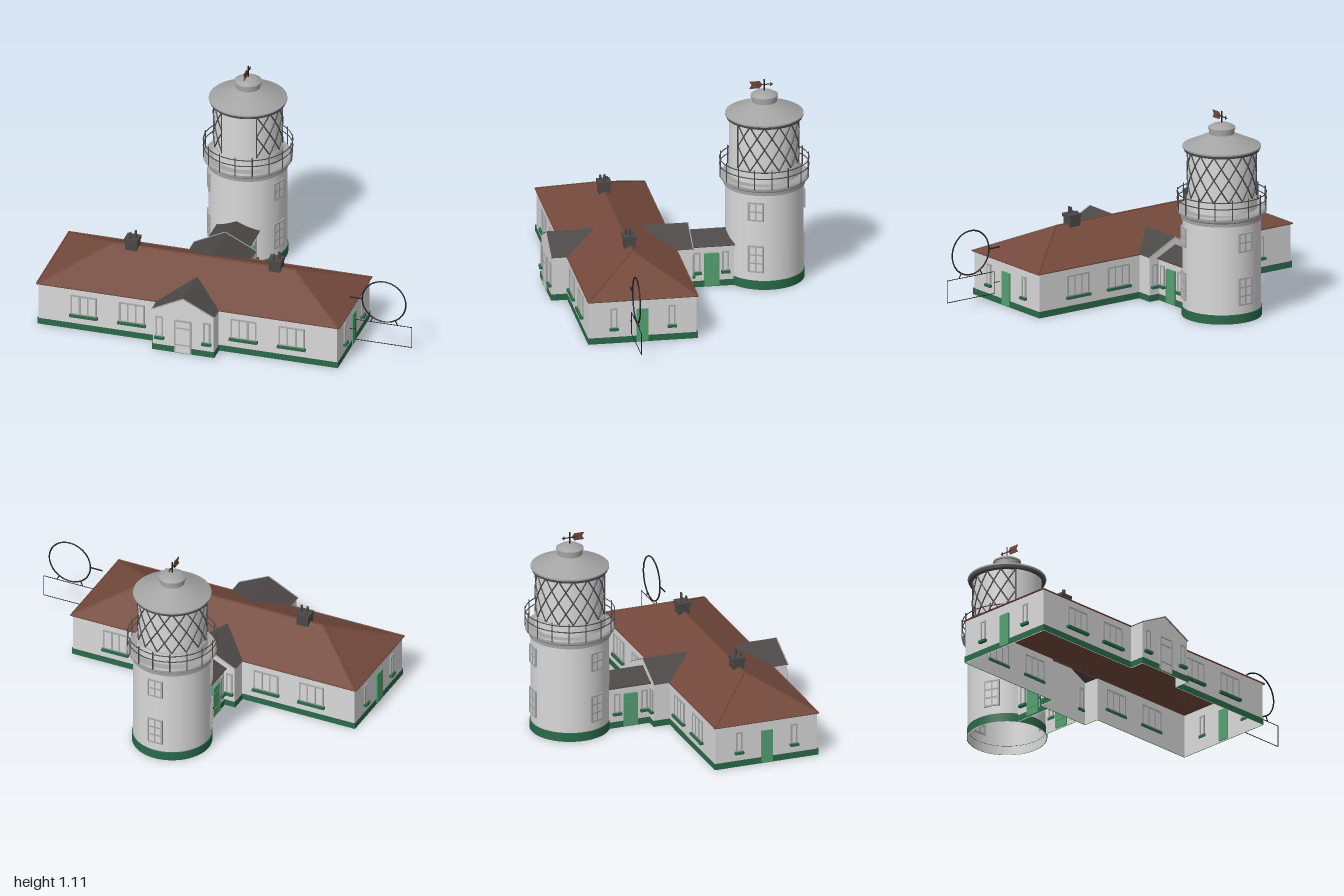
import * as THREE from 'three';

const mat = (name, color, side = THREE.FrontSide) => {
  const m = new THREE.MeshStandardMaterial({ color, side });
  m.name = name;
  return m;
};
const rad = THREE.MathUtils.degToRad;

export function createModel() {
  const M = {
    wall: mat('white wall', 0xd9d9d9, THREE.DoubleSide),
    roof: mat('red brown tile', 0x74493c, THREE.DoubleSide),
    slate: mat('dark slate', 0x4b4847, THREE.DoubleSide),
    plinth: mat('dark green', 0x2b6a4a, THREE.DoubleSide),
    door: mat('light green', 0x55a171),
    frame: mat('grey frame', 0xaaaaaa),
    metal: mat('grey metal', 0xa3a3a3, THREE.DoubleSide),
    bars: mat('dark grey bar', 0x4d4d4d),
    iron: mat('black iron', 0x222222),
  };
  const model = new THREE.Group();
  model.name = 'lighthouse';

  const group = (name, parent = model) => {
    const g = new THREE.Group();
    g.name = name;
    parent.add(g);
    return g;
  };
  const add = (parent, name, geo, m, x = 0, y = 0, z = 0) => {
    const mesh = new THREE.Mesh(geo, m);
    mesh.name = name;
    mesh.position.set(x, y, z);
    parent.add(mesh);
    return mesh;
  };
  const box = (parent, name, w, h, d, m, x, y, z) => add(parent, name, new THREE.BoxGeometry(w, h, d), m, x, y, z);
  // Thin round bar between two points
  const beam = (parent, name, a, b, r, m) => {
    const p = new THREE.Vector3(...a), q = new THREE.Vector3(...b), d = q.clone().sub(p);
    const mesh = add(parent, name, new THREE.CylinderGeometry(r, r, d.length(), 6), m);
    mesh.position.copy(p).add(q).multiplyScalar(0.5);
    mesh.quaternion.setFromUnitVectors(new THREE.Vector3(0, 1, 0), d.normalize());
  };
  // Flat convex polygons
  const faces = (parent, name, polys, m) => {
    const pos = [];
    for (const p of polys) for (let i = 1; i < p.length - 1; i++) pos.push(...p[0], ...p[i], ...p[i + 1]);
    const g = new THREE.BufferGeometry();
    g.setAttribute('position', new THREE.Float32BufferAttribute(pos, 3));
    g.computeVertexNormals();
    add(parent, name, g, m);
  };
  // Upright strip along a path of [x, z] points
  const strip = (parent, name, path, y0, y1, m) => faces(parent, name, path.slice(1).map(([x, z], i) => {
    const [px, pz] = path[i];
    return [[px, y0, pz], [x, y0, z], [x, y1, z], [px, y1, pz]];
  }), m);
  // Window with frame, glazing bars and optional sill, facing its own +z
  const addWindow = (parent, x, z, ry, w, y0, y1, cols, rows, sill = true) => {
    const g = group('window', parent), h = y1 - y0, t = 0.008;
    g.position.set(x, y0, z);
    g.rotation.y = ry;
    box(g, 'windowPane', w, h, 0.006, M.wall, 0, h / 2, 0.001);
    for (let i = 0; i <= cols; i++) box(g, 'windowUpright', t, h, 0.012, M.frame, -w / 2 + (w * i) / cols, h / 2, 0.001);
    for (let i = 0; i <= rows; i++) box(g, 'windowRail', w + t, t, 0.012, M.frame, 0, (h * i) / rows, 0.001);
    if (sill) box(g, 'windowSill', w + 0.02, 0.014, 0.024, M.plinth, 0, -0.009, 0.006);
  };
  const addDoor = (parent, x, z, ry, w, h, m, trim) => {
    const g = group('door', parent);
    g.position.set(x, 0.005, z);
    g.rotation.y = ry;
    box(g, 'doorLeaf', w, h, 0.016, m, 0, h / 2, 0.002);
    if (!trim) return;
    for (const s of [-1, 1]) box(g, 'doorPost', 0.008, h, 0.022, trim, s * w / 2, h / 2, 0.002);
    for (const f of [0.25, 0.78, 1]) box(g, 'doorRail', w, 0.007, 0.022, trim, 0, h * f, 0.002);
  };

  // ---- House ----
  const house = group('house');
  const cx = -0.167, X0 = -0.99, X1 = 0.655, Z0 = 0.037, Z1 = 0.612;
  const P0 = -0.333, P1 = 0, PF = 0.698, PB = -0.053, C0 = -0.272, C1 = -0.062;
  const outline = (e) => [
    [X0 - e, Z1 + e], [P0 - e, Z1 + e], [P0 - e, PF + e], [P1 + e, PF + e], [P1 + e, Z1 + e], [X1 + e, Z1 + e],
    [X1 + e, Z0 - e], [P1 + e, Z0 - e], [P1 + e, PB - e], [P0 - e, PB - e], [P0 - e, Z0 - e], [X0 - e, Z0 - e], [X0 - e, Z1 + e],
  ];
  strip(house, 'houseWalls', outline(0), 0, 0.24, M.wall);
  strip(house, 'housePlinth', outline(0.005), 0, 0.035, M.plinth);

  // Hipped main roof with ridge, hip and eave trim
  const E = 0.24, R = 0.386, rz = 0.325;
  const a = [-1, E, 0.617], b = [0.667, E, 0.617], c = [0.667, E, 0.032], d = [-1, E, 0.032];
  const r0 = [-0.67, R, rz], r1 = [0.335, R, rz];
  faces(house, 'mainRoof', [[a, b, r1, r0], [b, c, r1], [c, d, r0, r1], [d, a, r0]], M.roof);
  for (const [p, q] of [[r0, r1], [a, r0], [d, r0], [b, r1], [c, r1]]) beam(house, 'ridgeTile', p, q, 0.004, M.roof);
  for (const [p, q] of [[a, b], [b, c], [c, d], [d, a]]) beam(house, 'gutter', p, q, 0.004, M.roof);

  // Front and back porch gables with roofs running into the main roof
  const peak = 0.326, g0 = cx - 0.173, g1 = cx + 0.173;
  for (const [zOut, zEave, zTop, zWall] of [[0.702, 0.617, 0.445, PF], [-0.057, 0.032, 0.204, PB]]) {
    const top = [cx, peak, zOut], inn = [cx, peak, zTop];
    faces(house, 'porchRoof', [g0, g1].map((x) => [[x, E, zOut], [x, E, zEave], inn, top]), M.slate);
    faces(house, 'porchGable', [[[P0, E, zWall], [P1, E, zWall], [cx, peak - 0.004, zWall]]], M.wall);
    for (const x of [g0, g1]) beam(house, 'gableTrim', [x, E, zOut], top, 0.003, M.frame);
  }

  // Triple windows front and back, narrow porch and end windows
  for (const x of [-0.74, -0.475, 0.14, 0.405]) {
    addWindow(house, x, Z1, 0, 0.135, 0.09, 0.198, 3, 1);
    addWindow(house, x, Z0, Math.PI, 0.135, 0.09, 0.198, 3, 1);
  }
  for (const s of [-1, 1]) {
    addWindow(house, cx + s * 0.13, PF, 0, 0.032, 0.085, 0.198, 1, 1);
    addWindow(house, cx + s * 0.136, PB, Math.PI, 0.028, 0.085, 0.198, 1, 1);
    const endX = s > 0 ? X1 : X0;
    for (const z of [0.48, 0.17]) addWindow(house, endX, z, s * Math.PI / 2, 0.028, 0.088, 0.192, 1, 1);
    addDoor(house, endX, 0.327, s * Math.PI / 2, 0.064, 0.18, M.door);
  }
  addDoor(house, cx, PF, 0, 0.085, 0.188, M.wall, M.frame);

  // Chimneys with pots
  for (const x of [-0.56, 0.23]) {
    const ch = group('chimney');
    ch.position.set(x, 0, rz);
    box(ch, 'chimneyStack', 0.066, 0.07, 0.062, M.slate, 0, 0.39, 0);
    box(ch, 'chimneyCap', 0.076, 0.018, 0.072, M.slate, 0, 0.428, 0);
    [[-0.018, 0.45, -0.018], [0.018, 0.478, 0], [-0.008, 0.465, 0.018]].forEach(([px, top, pz]) =>
      add(ch, 'chimneyPot', new THREE.CylinderGeometry(0.006, 0.008, top - 0.43, 10), M.slate, px, (top + 0.43) / 2, pz));
  }

  // ---- Passage to the tower ----
  const passage = group('passage');
  for (const [s, x] of [[-1, C0], [1, C1]]) {
    strip(passage, 'passageWall', [[x, PB], [x, -0.287]], 0, 0.23, M.wall);
    strip(passage, 'passagePlinth', [[x + s * 0.005, PB], [x + s * 0.005, -0.287]], 0, 0.035, M.plinth);
    for (const z of [-0.086, -0.24]) addWindow(passage, x, z, s * Math.PI / 2, 0.028, 0.088, 0.19, 1, 1);
    addDoor(passage, x, -0.165, s * Math.PI / 2, 0.07, 0.18, M.door, M.door);
    const ex = cx + s * 0.116;
    faces(passage, 'passageRoof', [[[ex, 0.23, PB], [ex, 0.23, -0.29], [cx, 0.286, -0.26], [cx, 0.286, PB]]], M.slate);
    beam(passage, 'passageGutter', [ex, 0.229, PB], [ex, 0.229, -0.288], 0.004, M.slate);
  }

  // ---- Tower ----
  const tower = group('tower');
  tower.position.set(cx, 0, -0.465);
  const tube = (name, r0, r1, y0, y1, m, start = 0, len = 360) => add(tower, name,
    new THREE.CylinderGeometry(r1, r0, y1 - y0, 64, 1, true, rad(start), rad(len)), m, 0, (y0 + y1) / 2, 0);
  // Turned rings get sharp corners by making each step its own band
  const turned = (name, pts, m) => {
    for (let i = 1; i < pts.length; i++) {
      add(tower, name, new THREE.LatheGeometry([pts[i - 1], pts[i]].map((p) => new THREE.Vector2(...p)), 64), m);
    }
  };
  tube('towerWall', 0.208, 0.207, 0, 0.535, M.wall);
  tube('towerPlinth', 0.212, 0.212, 0, 0.048, M.plinth);
  turned('plinthTop', [[0.212, 0.048], [0.206, 0.05]], M.plinth);
  turned('galleryCornice', [[0.207, 0.53], [0.216, 0.532], [0.216, 0.55], [0.224, 0.556], [0.226, 0.565],
    [0.236, 0.568], [0.236, 0.578], [0.228, 0.587], [0.16, 0.587]], M.metal);
  for (const deg of [68, -68, 180]) {
    const t = rad(deg), x = Math.sin(t) * 0.206, z = Math.cos(t) * 0.206;
    addWindow(tower, x, z, t, 0.078, 0.39, 0.486, 2, 2, false);
    addWindow(tower, x, z, t, 0.078, 0.1, 0.242, 2, 3, false);
  }

  // Gallery railing
  const polar = (deg, r, y) => [Math.sin(rad(deg)) * r, y, Math.cos(rad(deg)) * r];
  for (const y of [0.635, 0.67]) {
    add(tower, 'galleryRail', new THREE.TorusGeometry(0.236, 0.0028, 6, 64), M.bars, 0, y, 0).rotation.x = Math.PI / 2;
  }
  for (let i = 0; i < 16; i++) beam(tower, 'galleryPost', polar(i * 22.5, 0.236, 0.572), polar(i * 22.5, 0.236, 0.684), 0.003, M.bars);

  // Lantern room: solid front, glazed sides and back
  tube('lanternBase', 0.187, 0.187, 0.585, 0.652, M.wall);
  tube('lanternFront', 0.187, 0.187, 0.652, 0.91, M.wall, -31, 62);
  tube('lanternGlass', 0.18, 0.18, 0.652, 0.91, M.wall, 31, 298);
  turned('lanternSill', [[0.187, 0.652], [0.179, 0.653]], M.metal);

  // Diagonal glazing bars, one cross in each cell
  const n = 12, step = 298 / n, y0 = 0.654, rowH = 0.124;
  for (let i = 0; i < n; i++) for (let j = 0; j < 2; j++) {
    const mid = polar(31 + (i + 0.5) * step, 0.183, y0 + (j + 0.5) * rowH);
    for (const u of [0, 1]) for (const v of [0, 1]) {
      beam(tower, 'glazingBar', polar(31 + (i + u) * step, 0.183, y0 + (j + v) * rowH), mid, 0.0038, M.bars);
    }
  }
  for (const s of [31, -31]) beam(tower, 'glazingPost', polar(s, 0.185, y0), polar(s, 0.185, 0.905), 0.004, M.bars);

  // Lantern roof and ventilator
  turned('lanternEave', [[0.178, 0.898], [0.2, 0.901], [0.202, 0.914]], M.bars);
  turned('lanternRoof', [[0.202, 0.914], [0.207, 0.916], [0.207, 0.924], [0.188, 0.932], [0.066, 0.988]], M.metal);
  turned('ventilator', [[0.066, 0.985], [0.066, 1.014], [0.073, 1.016], [0.073, 1.024], [0.05, 1.038], [0.022, 1.045], [0, 1.047]], M.metal);

  // Weather vane
  beam(tower, 'vanePole', [0, 1.04, 0], [0, 1.11, 0], 0.004, M.iron);
  beam(tower, 'vaneRod', [0, 1.08, -0.04], [0, 1.08, 0.04], 0.003, M.iron);
  const plate = (pts) => {
    const shape = new THREE.Shape(pts.map((p) => new THREE.Vector2(...p)));
    const geo = new THREE.ExtrudeGeometry(shape, { depth: 0.004, bevelEnabled: false }).translate(0, 0, -0.002);
    add(tower, 'vaneArrow', geo.rotateY(-Math.PI / 2), M.roof, 0, 1.08, 0);
  };
  plate([[0.01, 0], [0.025, -0.02], [0.08, -0.02], [0.068, 0], [0.08, 0.02], [0.025, 0.02]]);
  plate([[-0.047, 0], [-0.03, -0.012], [-0.033, 0], [-0.03, 0.012]]);

  // ---- Wire ring and frame beside the house ----
  const sign = group('wireFrame');
  sign.position.z = 0.391;
  add(sign, 'ring', new THREE.TorusGeometry(0.12, 0.004, 6, 64), M.iron, 0.845, 0.31, 0);
  const corners = [[0.69, 0.06, 0], [0.998, 0.06, 0], [0.998, 0.18, 0], [0.69, 0.18, 0]];
  corners.forEach((p, i) => beam(sign, 'frameBar', p, corners[(i + 1) % 4], 0.002, M.iron));
  beam(sign, 'ringBracket', [0.655, 0.31, 0], [0.725, 0.31, 0], 0.004, M.iron);
  beam(sign, 'frameBracket', [0.655, 0.12, 0], [0.69, 0.12, 0], 0.002, M.iron);
  for (const s of [-1, 1]) beam(sign, 'frameHanger', [0.845 + s * 0.075, 0.18, 0], [0.845 + s * 0.062, 0.207, 0], 0.003, M.iron);

  return model;
}
